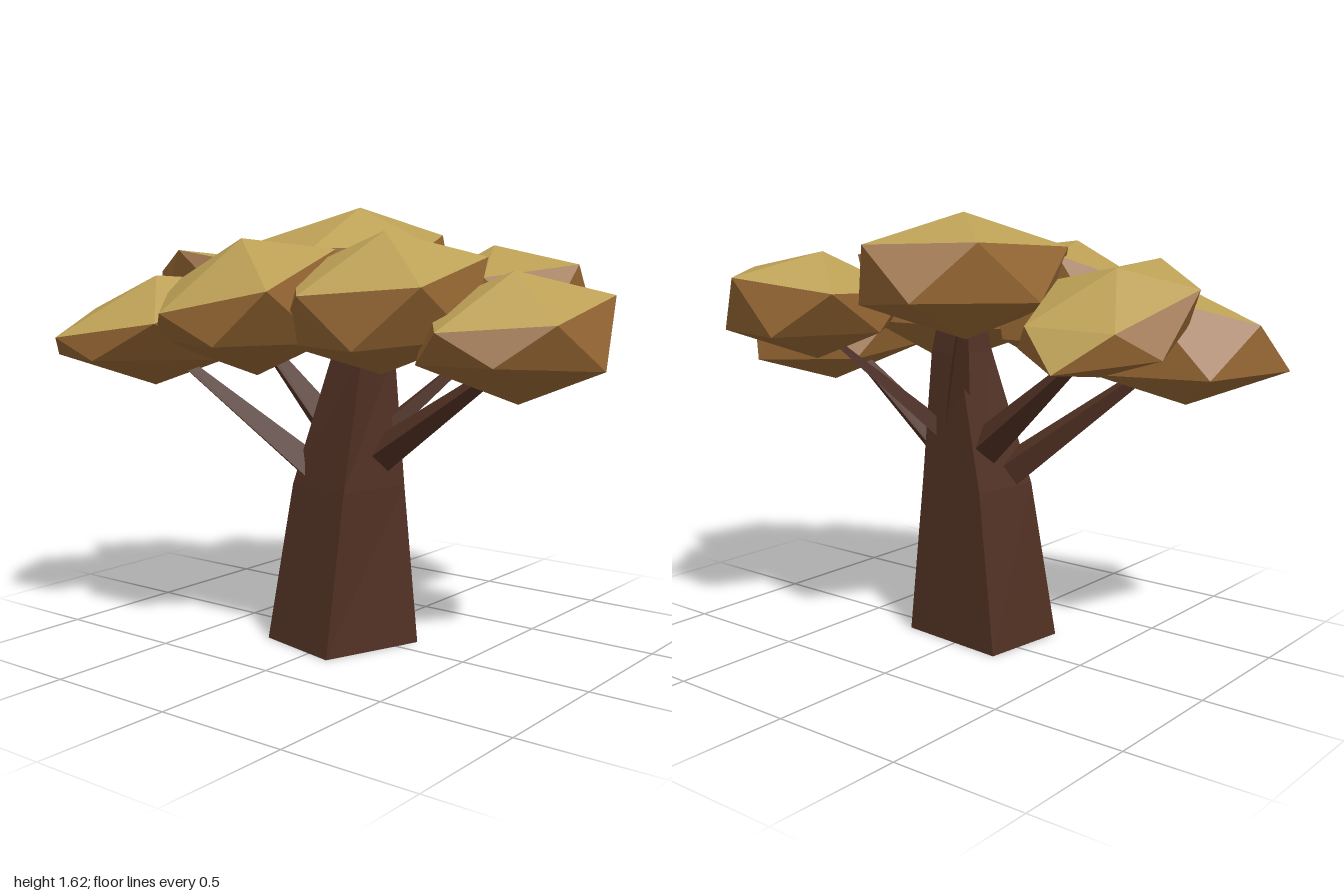
import * as THREE from 'three';

const mat = (color) => new THREE.MeshStandardMaterial({ color, flatShading: true, roughness: 1 });

function named(geometry, material, name) {
  const mesh = new THREE.Mesh(geometry, material);
  mesh.name = name;
  return mesh;
}

function fromPositions(positions) {
  const g = new THREE.BufferGeometry();
  g.setAttribute('position', new THREE.Float32BufferAttribute(positions, 3));
  g.computeVertexNormals();
  return g;
}

// Loft through rings of equal point count, with both ends capped
function loft(rings) {
  const pos = [];
  const tri = (a, b, c) => pos.push(...a, ...b, ...c);
  const n = rings[0].length;
  for (let r = 0; r < rings.length - 1; r++) {
    for (let i = 0; i < n; i++) {
      const j = (i + 1) % n;
      const [lo, hi] = [rings[r], rings[r + 1]];
      tri(lo[i], lo[j], hi[j]);
      tri(lo[i], hi[j], hi[i]);
    }
  }
  const [base, top] = [rings[0], rings[rings.length - 1]];
  for (let i = 1; i < n - 1; i++) {
    tri(base[0], base[i + 1], base[i]);
    tri(top[0], top[i], top[i + 1]);
  }
  return fromPositions(pos);
}

// Tapered four-sided branch between two points
function branch(from, to, r0, r1) {
  const a = new THREE.Vector3(...from);
  const d = new THREE.Vector3(...to).sub(a);
  const g = new THREE.CylinderGeometry(r1, r0, d.length(), 4);
  g.translate(0, d.length() / 2, 0);
  g.applyQuaternion(new THREE.Quaternion().setFromUnitVectors(new THREE.Vector3(0, 1, 0), d.normalize()));
  return g.translate(...from);
}

// Icosahedron skewed onto half-axes; the lower half has its own direction and
// slopes (low = rise along x and z). Light crown, darker sides.
function leafClump({ at, spin, x, up, z, down, low }, crownMat, sideMat) {
  const g = new THREE.IcosahedronGeometry(1, 0);
  g.rotateZ(-Math.atan(2 / (1 + Math.sqrt(5)))); // one corner straight up
  g.rotateY(-THREE.MathUtils.degToRad(spin));
  const p = g.attributes.position;
  const vec = (a) => new THREE.Vector3(...a);
  const skew = (ax, ay, az) => new THREE.Matrix4().makeBasis(vec(ax), vec(ay), vec(az)).setPosition(...at);
  const upper = skew(x, up, z);
  const lower = skew([x[0], low[0], x[2]], down.map((c) => -c), [z[0], low[1], z[2]]);
  const v = new THREE.Vector3();
  for (let i = 0; i < p.count; i++) {
    v.fromBufferAttribute(p, i);
    v.applyMatrix4(v.y > 0 ? upper : lower);
    p.setXYZ(i, v.x, v.y, v.z);
  }
  const parts = { crown: [], sides: [] };
  const face = new THREE.Triangle();
  for (let i = 0; i < p.count; i += 3) {
    face.setFromAttributeAndIndices(p, i, i + 1, i + 2);
    face.getNormal(v);
    const list = v.y > 0.53 ? parts.crown : parts.sides;
    [face.a, face.b, face.c].forEach((c) => list.push(c.x, c.y, c.z));
  }
  const clump = new THREE.Group();
  clump.name = 'leafClump';
  clump.add(named(fromPositions(parts.crown), crownMat, 'leafCrown'));
  clump.add(named(fromPositions(parts.sides), sideMat, 'leafSides'));
  return clump;
}

export function createModel() {
  const tree = new THREE.Group();
  tree.name = 'tree';
  const bark = mat(0x503023);
  const crownMat = mat(0xbb9f55);
  const sideMat = mat(0x966733);

  // Trunk: four-sided, leaning and narrowing upwards
  const sections = [
    [0, [[-0.24, 0.21], [0.1, 0.285], [0.24, -0.09], [-0.2, -0.13]]],
    [0.6, [[-0.155, 0.16], [0.115, 0.2], [0.19, -0.07], [-0.11, -0.1]]],
    [1.1, [[-0.01, 0.1], [0.13, 0.11], [0.15, -0.06], [0.01, -0.07]]],
    [1.28, [[0.02, 0.08], [0.1, 0.08], [0.12, -0.04], [0.03, -0.05]]],
  ];
  tree.add(named(loft(sections.map(([y, pts]) => pts.map(([x, z]) => [x, y, z]))), bark, 'trunk'));

  // Branches reaching into the clumps
  [
    [[-0.06, 0.62, 0.08], [-0.64, 1.12, 0.36], 0.07, 0.015],
    [[-0.02, 0.72, 0.0], [-0.58, 1.18, -0.07], 0.075, 0.015],
    [[0.08, 0.68, 0.0], [0.68, 1.09, 0.02], 0.07, 0.02],
    [[0.09, 0.76, 0.0], [0.44, 1.18, -0.34], 0.045, 0.01],
    [[0.06, 0.85, -0.02], [-0.09, 1.3, -0.16], 0.065, 0.015],
  ].forEach((b) => tree.add(named(branch(...b), bark, 'branch')));

  // Canopy
  [
    { at: [0.7, 1.17, 0.01], spin: 36, x: [0.33, 0, -0.08], up: [0, 0.228, 0.015], z: [-0.01, -0.08, 0.37],
      down: [-0.01, -0.228, -0.04], low: [0, 0.03] },
    { at: [-0.67, 1.16, 0.38], spin: 36, x: [0.36, 0.02, 0], up: [0.07, 0.21, 0.03], z: [-0.1, -0.12, 0.37],
      down: [-0.06, -0.215, -0.08], low: [0, 0] },
    { at: [-0.62, 1.27, -0.05], spin: 22, x: [0.3, 0, -0.08], up: [0, 0.17, 0.05], z: [0, 0.13, 0.31],
      down: [0, -0.19, -0.04], low: [0, 0.08] },
    { at: [-0.23, 1.26, 0.36], spin: 36, x: [0.41, 0.04, 0.02], up: [0.03, 0.245, 0.02], z: [0, -0.13, 0.35],
      down: [0, -0.25, -0.09], low: [0, -0.01] },
    { at: [0.28, 1.28, 0.21], spin: 34, x: [0.37, 0, -0.05], up: [0.02, 0.25, 0], z: [-0.05, -0.09, 0.33],
      down: [-0.05, -0.25, -0.08], low: [0, -0.04] },
    { at: [-0.1, 1.4, -0.17], spin: 0, x: [0.33, -0.02, -0.05], up: [0.03, 0.22, 0.03], z: [-0.03, -0.03, 0.45],
      down: [-0.03, -0.22, -0.03], low: [-0.02, -0.03] },
    { at: [0.47, 1.28, -0.36], spin: 54, x: [0.3, 0.04, 0.06], up: [-0.12, 0.2, -0.06], z: [-0.09, -0.03, 0.37],
      down: [-0.02, -0.2, 0], low: [0, 0] },
  ].forEach((c) => tree.add(leafClump(c, crownMat, sideMat)));

  return tree;
}
